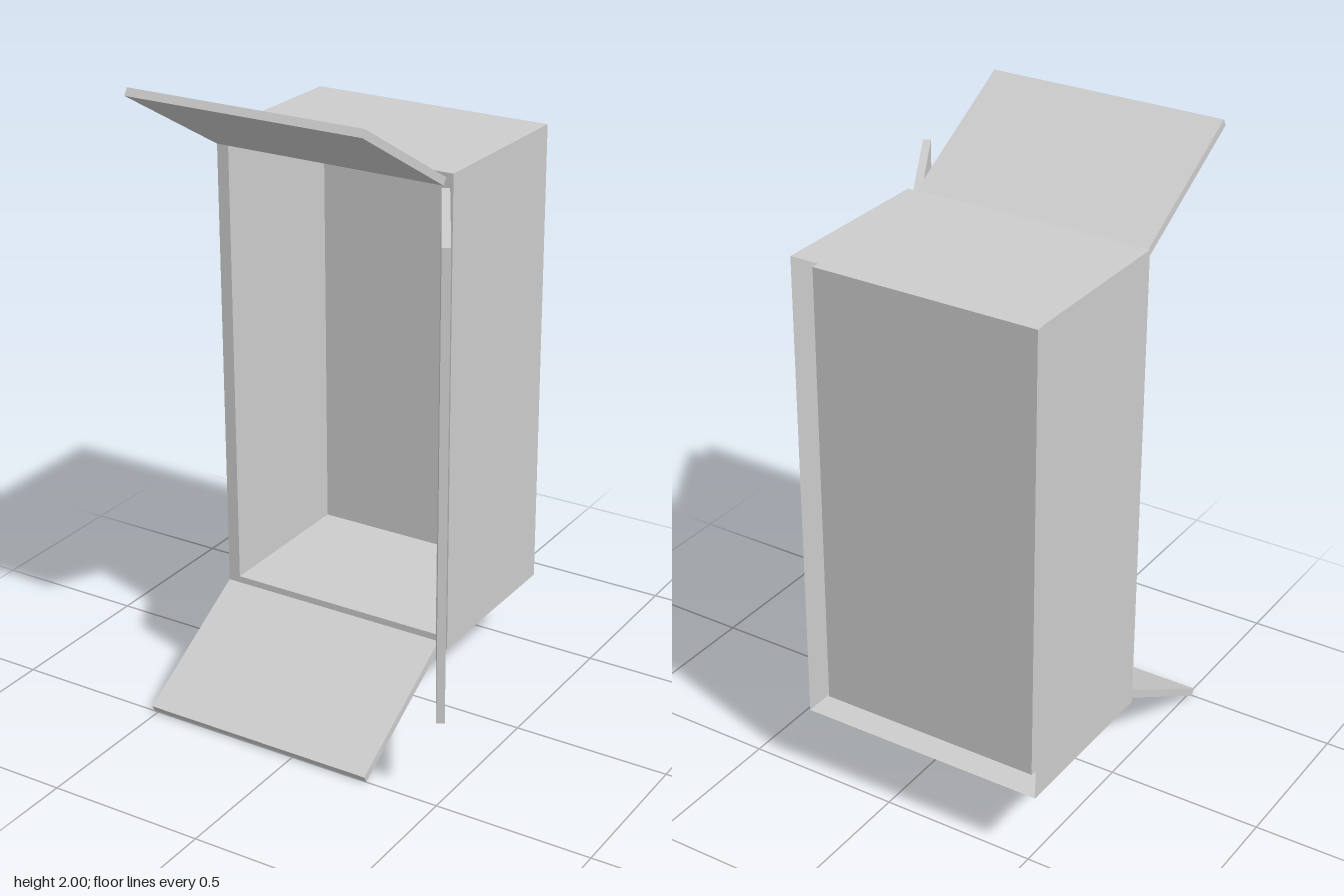
import * as THREE from 'three';

const paint = new THREE.MeshStandardMaterial({ color: 0xcccccc, side: THREE.DoubleSide });
paint.name = 'light grey';

// Hollow cabinet: outer walls, front rim, inner walls and inner back, open behind
function cabinetGeometry() {
  const ring = (inset, z) => {
    const x0 = -0.527 + inset, x1 = 0.281 - inset;
    const y0 = 0.242 + inset, y1 = 1.762 - inset;
    return [[x0, y0, z], [x1, y0, z], [x1, y1, z], [x0, y1, z]];
  };
  const wall = 0.04;
  const rings = [ring(0, -0.51), ring(0, 0.06), ring(wall, 0.06), ring(wall, -0.465)];
  const points = [];
  const quad = (a, b, c, d) => points.push(...a, ...b, ...c, ...a, ...c, ...d);
  for (let r = 0; r < 3; r++) {
    for (let i = 0; i < 4; i++) {
      const j = (i + 1) % 4;
      quad(rings[r][i], rings[r][j], rings[r + 1][j], rings[r + 1][i]);
    }
  }
  quad(...rings[3]);
  const geometry = new THREE.BufferGeometry();
  geometry.setAttribute('position', new THREE.Float32BufferAttribute(points, 3));
  geometry.computeVertexNormals();
  return geometry;
}

export function createModel() {
  const group = new THREE.Group();
  const add = (name, geometry, x = 0, y = 0, z = 0) => {
    const mesh = new THREE.Mesh(geometry, paint);
    mesh.name = name;
    mesh.position.set(x, y, z);
    group.add(mesh);
    return mesh;
  };
  const length = 0.5, thickness = 0.025, tilt = Math.PI / 6, flapZ = 0.288;

  add('cabinet', cabinetGeometry());

  // Flaps opened outwards above and below the front
  for (const side of [1, -1]) {
    const flap = add(side > 0 ? 'topFlap' : 'bottomFlap',
      new THREE.BoxGeometry(0.775, thickness, length), -0.127, 1 + side * 0.864, flapZ);
    flap.rotation.x = -side * tilt;
  }

  // Tall door swung open on the left
  const door = add('leftDoor', new THREE.BoxGeometry(thickness, 1.436, length), 0.388, 1.002, flapZ);
  door.rotation.y = tilt;

  return group;
}
